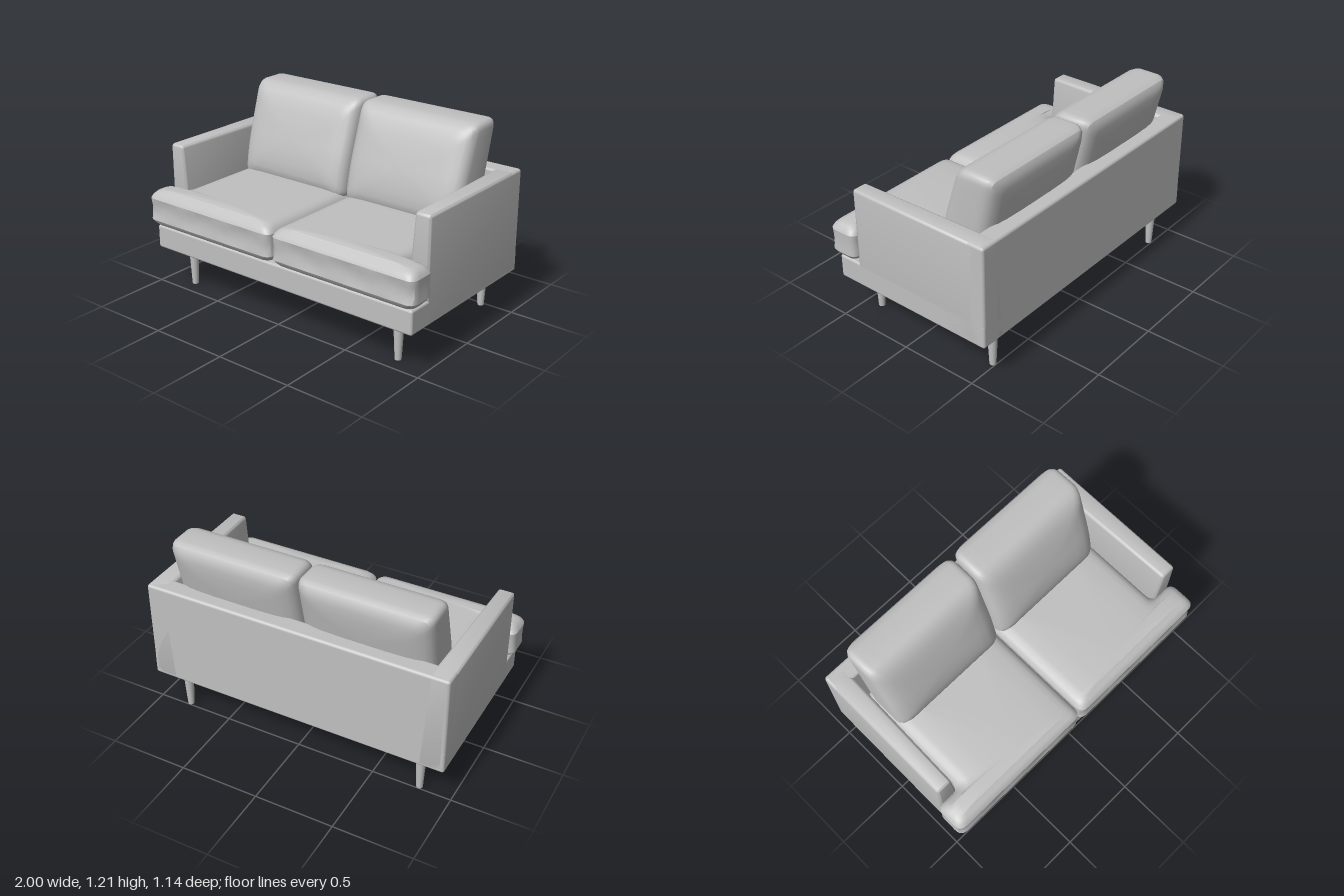
import * as THREE from 'three';
import { toCreasedNormals } from 'three/addons/utils/BufferGeometryUtils.js';
import { RoundedBoxGeometry } from 'three/addons/geometries/RoundedBoxGeometry.js';

const EDGE_STEPS = 12, CORNER_STEPS = 6;

// Rounded outline of a counter-clockwise polygon, inset by d
function outline(corners, radius, d) {
  const n = corners.length;
  const P = corners.map(([x, y]) => new THREE.Vector2(x, y));
  const dir = P.map((p, i) => P[(i + 1) % n].clone().sub(p).normalize());
  const Q = P.map((p, i) => {
    const a = dir[(i + n - 1) % n], b = dir[i];
    return new THREE.Vector2(p.x - (a.y + b.y) * d, p.y + (a.x + b.x) * d);
  });
  const r = Q.map((q, i) => Math.min(radius,
    0.45 * q.distanceTo(Q[(i + 1) % n]), 0.45 * q.distanceTo(Q[(i + n - 1) % n])));
  const pts = [];
  for (let i = 0; i < n; i++) {
    const j = (i + 1) % n;
    const start = Q[i].clone().addScaledVector(dir[(i + n - 1) % n], -r[i]);
    const end = Q[i].clone().addScaledVector(dir[i], r[i]);
    pts.push(...new THREE.QuadraticBezierCurve(start, Q[i], end).getPoints(CORNER_STEPS));
    const next = Q[j].clone().addScaledVector(dir[i], -r[j]);
    for (let k = 1; k < EDGE_STEPS; k++) pts.push(end.clone().lerp(next, k / EDGE_STEPS));
  }
  return pts;
}

// Cushion from stacked outlines: each ring is [inset, level, pull towards the pole]
function cushionGeometry(corners, radius, pole, rings, place, side) {
  const pos = [], index = [];
  let n = 0;
  for (const [inset, level, pull = 0] of rings) {
    const pts = outline(corners, radius, inset);
    n = pts.length;
    for (const p of pts) {
      p.lerp(pole, pull);
      const [x, y, z] = place(p.x, p.y, level);
      pos.push(x * side, y, z);
    }
  }
  for (let i = 0; i < rings.length - 1; i++) {
    for (let j = 0; j < n; j++) {
      const a = i * n + j, b = i * n + (j + 1) % n, c = b + n, d = a + n;
      if (side > 0) index.push(a, b, c, a, c, d);
      else index.push(a, c, b, a, d, c);
    }
  }
  const g = new THREE.BufferGeometry();
  g.setAttribute('position', new THREE.Float32BufferAttribute(pos, 3));
  g.setIndex(index);
  return toCreasedNormals(g, 0.48);
}

export function createModel() {
  const model = new THREE.Group();
  const fabric = new THREE.MeshStandardMaterial({ color: 0xc0c0c0 });
  fabric.name = 'grey fabric';
  const add = (name, geometry) => {
    const mesh = new THREE.Mesh(geometry, fabric);
    mesh.name = name;
    model.add(mesh);
    return mesh;
  };
  const slab = (x0, x1, y0, y1, z0, z1, r) =>
    new RoundedBoxGeometry(x1 - x0, y1 - y0, z1 - z0, 3, r)
      .translate((x0 + x1) / 2, (y0 + y1) / 2, (z0 + z1) / 2);

  // Frame
  add('base', slab(-0.97, 0.97, 0.25, 0.402, -0.57, 0.53, 0.015));
  add('backrest', slab(-0.97, 0.97, 0.25, 0.9, -0.57, -0.45, 0.018));

  // T-shaped seat cushion: plan uses x and -z
  const seatPlan = [[0.004, -0.57], [1, -0.57], [1, -0.375], [0.83, -0.375], [0.83, 0.42], [0.004, 0.42]];
  const seatRings = [
    [0.05, 0.4, 1], [0.05, 0.4, 0.4], [0.05, 0.402], [0.025, 0.415], [0.01, 0.432], [0, 0.45],
    [0.002, 0.485], [0.003, 0.52], [0.002, 0.555], [0, 0.59],
    [0.01, 0.61], [0.027, 0.628], [0.05, 0.638], [0.05, 0.645, 0.1], [0.05, 0.651, 0.4], [0.05, 0.654, 1],
  ];
  const placeSeat = (x, v, y) => {
    // shallow folds in the front band
    const folds = -v > 0.55 && y > 0.46 && y < 0.58
      ? 0.006 * (1 + Math.sin(x * 19 + y * 30)) * Math.sin(Math.PI * (y - 0.45) / 0.14) : 0;
    return [x, y, -v - folds];
  };

  // Back cushion: front and back seams lean at different slopes, each face domes out
  const backPlan = [[0.006, 0.6], [0.815, 0.6], [0.828, 1.205], [0.004, 1.205]];
  const dome = [[0, 0], [0.005, 0.025], [0.018, 0.05], [0.045, 0.071], [0.09, 0.084],
    [0.15, 0.091], [0.15, 0.095, 0.5], [0.15, 0.095, 1]];
  const backRings = [
    ...dome.map(([d, h, k]) => [d, -h, k]).reverse().slice(0, -1),
    [0, -0.0001], [0, 0.0001], ...dome.slice(1),
  ];
  const placeBack = (x, y, h) => {
    const low = Math.max(0, 0.9 - y);
    const seam = h > 0
      ? -0.23 - 0.333 * (y - 0.9) - 0.4 * low * low
      : -0.39 - 0.22 * (y - 0.9);
    return [x, y, seam + h];
  };

  for (const side of [1, -1]) {
    const word = side > 0 ? 'left' : 'right';

    // Arm: inner face leans outwards to the top and front
    const arm = slab(-0.07, 0.07, 0.25, 0.9, -0.57, 0.38, 0.02);
    const p = arm.attributes.position;
    for (let i = 0; i < p.count; i++) {
      const outer = 0.5 + p.getX(i) / 0.14;
      const inner = 0.795 + 0.05 * (p.getY(i) - 0.25) / 0.65 + 0.025 * (p.getZ(i) + 0.57) / 0.95;
      const x = THREE.MathUtils.lerp(inner, 0.97, side > 0 ? outer : 1 - outer);
      p.setX(i, side * x);
    }
    arm.computeVertexNormals();
    add(word + 'Arm', toCreasedNormals(arm, 0.7));

    add(word + 'SeatCushion',
      cushionGeometry(seatPlan, 0.055, new THREE.Vector2(0.42, -0.45), seatRings, placeSeat, side));
    add(word + 'BackCushion',
      cushionGeometry(backPlan, 0.05, new THREE.Vector2(0.415, 0.9), backRings, placeBack, side));

    // Tapered legs
    for (const [name, z] of [['FrontLeg', 0.395], ['BackLeg', -0.48]]) {
      add(word + name, new THREE.CylinderGeometry(0.033, 0.02, 0.26, 20))
        .position.set(side * 0.795, 0.13, z);
    }
  }
  return model;
}
